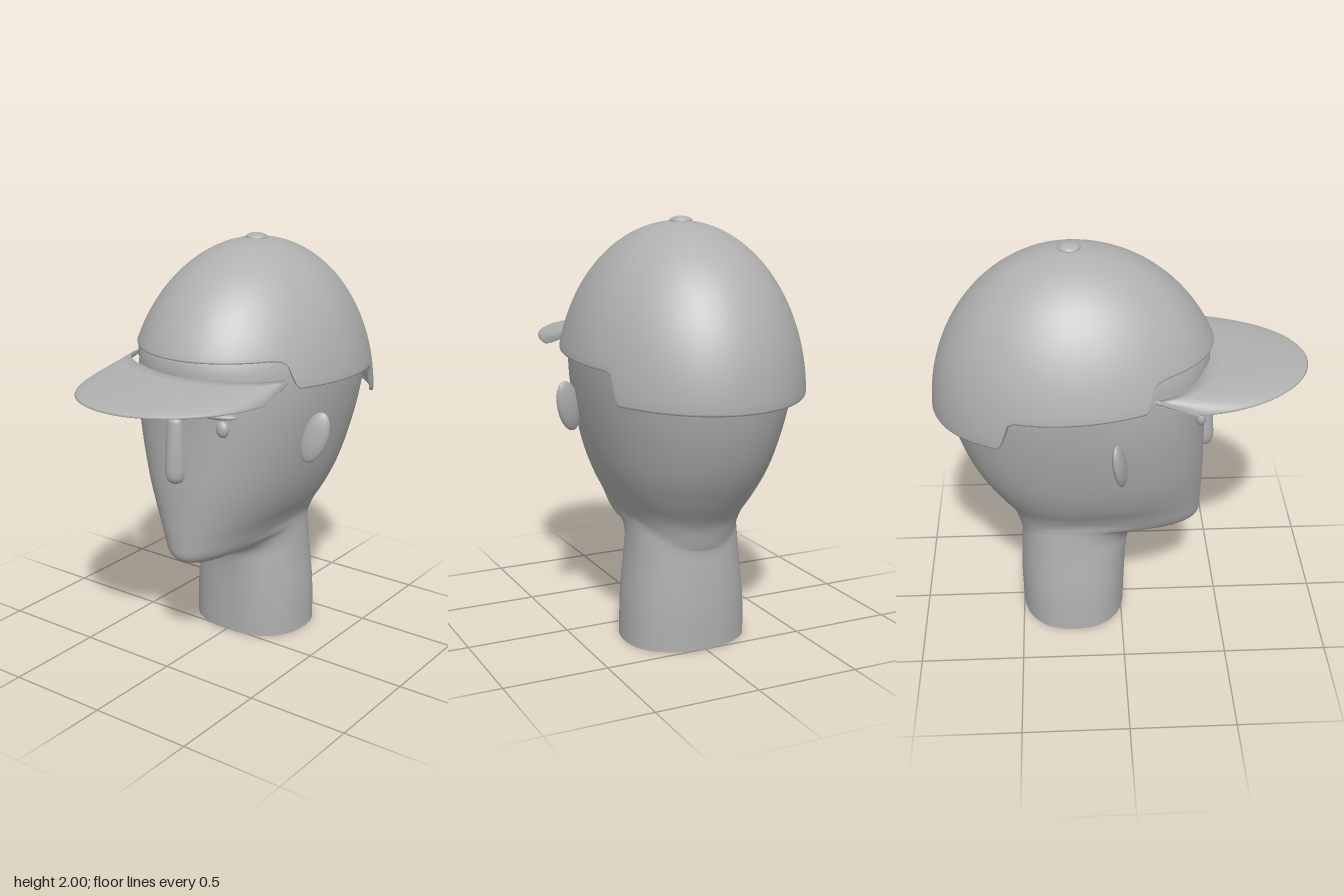
import * as THREE from 'three';

const skin = new THREE.MeshStandardMaterial({ color: 0xb0b0b0 });
skin.name = 'plainGrey';

const V = (x, y, z) => new THREE.Vector3(x, y, z);

// Surface through equal-length rows of points, each row closed on itself
function loft(rows) {
  const n = rows[0].length, index = [];
  for (let i = 0; i < rows.length - 1; i++) {
    for (let j = 0; j < n; j++) {
      const k = (j + 1) % n, a = i * n, b = a + n;
      index.push(a + j, a + k, b + j, a + k, b + k, b + j);
    }
  }
  const geo = new THREE.BufferGeometry().setFromPoints(rows.flat());
  geo.setIndex(index);
  geo.computeVertexNormals();
  return geo;
}

// Head and neck sections: y, half width, front z, back z, centre z, front roundness, side lift
const SECTIONS = [
  [0, 0.3, 0.015, -0.5, -0.25, 2.4, 0],
  [0.2, 0.293, 0.022, -0.505, -0.25, 2.4, 0],
  [0.38, 0.272, 0.035, -0.498, -0.25, 2.3, 0.01],
  [0.455, 0.262, 0.06, -0.493, -0.25, 2.1, 0.04],
  [0.485, 0.258, 0.13, -0.495, -0.24, 2, 0.07],
  [0.492, 0.258, 0.33, -0.498, -0.23, 1.9, 0.09],
  [0.525, 0.262, 0.393, -0.508, -0.22, 2, 0.09],
  [0.61, 0.288, 0.405, -0.535, -0.21, 2.1, 0.06],
  [0.72, 0.33, 0.408, -0.612, -0.2, 2.2, 0.02],
  [0.86, 0.382, 0.41, -0.7, -0.2, 2.3, 0],
  [1.02, 0.428, 0.408, -0.768, -0.2, 2.35, 0],
  [1.2, 0.465, 0.408, -0.815, -0.21, 2.35, 0],
  [1.36, 0.484, 0.418, -0.83, -0.22, 2.2, 0],
  [1.5, 0.482, 0.42, -0.79, -0.22, 2, 0],
  [1.65, 0.41, 0.33, -0.72, -0.22, 2, 0],
  [1.8, 0.32, 0.2, -0.61, -0.22, 2, 0],
  [1.92, 0.16, -0.02, -0.41, -0.22, 2, 0],
  [1.94, 0, -0.22, -0.22, -0.22, 2, 0],
];

function sectionPoint([y, w, zf, zb, zc, nf, lift], a) {
  const s = Math.sin(a), c = Math.cos(a);
  const n = c > 0 ? nf : 2.2;
  const r = Math.pow(Math.abs(s) ** n + Math.abs(c) ** n, -1 / n);
  return V(w * r * s, y + lift * (r * s) ** 2, zc + (c > 0 ? zf - zc : zc - zb) * r * c);
}

function headRows() {
  const cols = 72, steps = (SECTIONS.length - 1) * 4;
  const curves = Array.from({ length: cols }, (_, j) =>
    new THREE.CatmullRomCurve3(SECTIONS.map((s) => sectionPoint(s, (j / cols) * Math.PI * 2))));
  return Array.from({ length: steps + 1 }, (_, i) => curves.map((c) => c.getPoint(i / steps)));
}

// Height of the cap rim, stepped from front to back
const RIM = [[-1, 1.195], [-0.57, 1.22], [-0.55, 1.25], [-0.52, 1.345], [-0.49, 1.362],
  [0.1, 1.385], [0.12, 1.41], [0.135, 1.49], [0.16, 1.51], [0.2, 1.518], [1, 1.518]];

function rimHeight(z) {
  const k = Math.max(1, RIM.findIndex((p) => p[0] >= z));
  const [z0, y0] = RIM[k - 1], [z1, y1] = RIM[k];
  return y0 + ((y1 - y0) * (z - z0)) / (z1 - z0);
}

const CAP = { y: 1.2, z: -0.22, h: 0.78, w: 0.552, front: 0.724, back: 0.67 };

function capPoint(a, elev, inset) {
  const r = Math.cos(elev) * inset;
  const c = Math.cos(a);
  return V(CAP.w * r * Math.sin(a), CAP.y + CAP.h * Math.sin(elev),
    CAP.z + (c > 0 ? CAP.front : CAP.back) * r * c);
}

// Thin dome: inner wall downwards, round the rim, outer wall upwards
function capRows() {
  const cols = 240;
  const rims = Array.from({ length: cols }, (_, j) => {
    const a = (j / cols) * Math.PI * 2;
    let y = 1.36;
    for (let i = 0; i < 24; i++) {
      const z = capPoint(a, Math.asin((y - CAP.y) / CAP.h), 1).z;
      y = (y + rimHeight(z)) / 2;
    }
    return [a, Math.asin((y - CAP.y) / CAP.h)];
  });
  const row = (t, inset, drop) => rims.map(([a, e]) => {
    const p = capPoint(a, e + (Math.PI / 2 - e) * t, inset);
    p.y -= drop * t;
    return p;
  });
  const rows = [];
  for (let i = 12; i >= 0; i--) rows.push(row(i / 12, 0.965, 0.02));
  rows.push(row(0.003, 0.968, 0), row(0, 0.972, 0), row(0, 0.995, 0), row(0.008, 1, 0));
  for (let i = 1; i <= 32; i++) rows.push(row(0.008 + (0.992 * i) / 32, 1, 0));
  return rows;
}

// Visor: closed sections running from the forehead to the outer edge
function visorRows() {
  const across = [0, 0.15, 0.35, 0.55, 0.75, 0.88, 0.95, 0.985, 1];
  const rows = [];
  for (let i = 0; i <= 64; i++) {
    const a = (i / 64 - 0.5) * Math.PI;
    const s = Math.sin(a), c = Math.max(0, Math.cos(a));
    const inner = V(0.44 * s, 1.425, 0.13 + 0.275 * c);
    const outer = V(0.455 * s, 1.362 + 0.023 * c, 0.32 + 0.57 * c);
    const side = (w, sign) => {
      const p = inner.clone().lerp(outer, w);
      p.y += sign * 0.018 * Math.sqrt(1 - w ** 6) * c ** 0.2;
      return p;
    };
    rows.push([...across.map((w) => side(w, 1)),
      ...across.slice(0, -1).reverse().map((w) => side(w, -1))]);
  }
  return rows;
}

export function createModel() {
  const group = new THREE.Group();
  const add = (name, geo, pos = [0, 0, 0], rot = [0, 0, 0]) => {
    const m = new THREE.Mesh(geo, skin);
    m.name = name;
    m.position.set(...pos);
    m.rotation.set(...rot);
    group.add(m);
    return m;
  };
  const blob = (x, y, z) => new THREE.SphereGeometry(1, 28, 18).scale(x, y, z);

  // Head with neck, and the flat cut under the neck
  const rows = headRows();
  add('headAndNeck', loft(rows));
  const cut = new THREE.Shape(rows[0].map((p) => new THREE.Vector2(p.x, p.z)));
  add('neckBase', new THREE.ShapeGeometry(cut).rotateX(Math.PI / 2));

  // Cap
  add('capDome', loft(capRows()));
  add('capVisor', loft(visorRows()));
  add('capButton', blob(0.053, 0.022, 0.053), [0, 1.978, -0.225]);

  // Nose: long rounded peg, leaning out at the bottom
  const noseProfile = [[0, 0], [0.022, 0.003], [0.038, 0.014], [0.047, 0.035], [0.05, 0.07],
    [0.047, 0.2], [0.041, 0.295], [0.036, 0.314], [0.025, 0.323], [0, 0.325]];
  add('nose', new THREE.LatheGeometry(noseProfile.map((p) => new THREE.Vector2(...p)), 28),
    [0, 0.921, 0.412], [-0.03, 0, 0]);

  // Paired features
  for (const s of [1, -1]) {
    const side = s > 0 ? 'left' : 'right';
    add(side + 'Eye', blob(0.032, 0.04, 0.024), [s * 0.237, 1.217, 0.366]);
    add(side + 'Eyebrow', blob(0.093, 0.018, 0.036), [s * 0.227, 1.288, 0.39], [0, s * 0.18, 0]);
    add(side + 'Ear', blob(0.062, 0.128, 0.028), [s * 0.482, 1.122, -0.022], [-0.08, s * 0.3, s * -0.28]);
  }
  return group;
}
